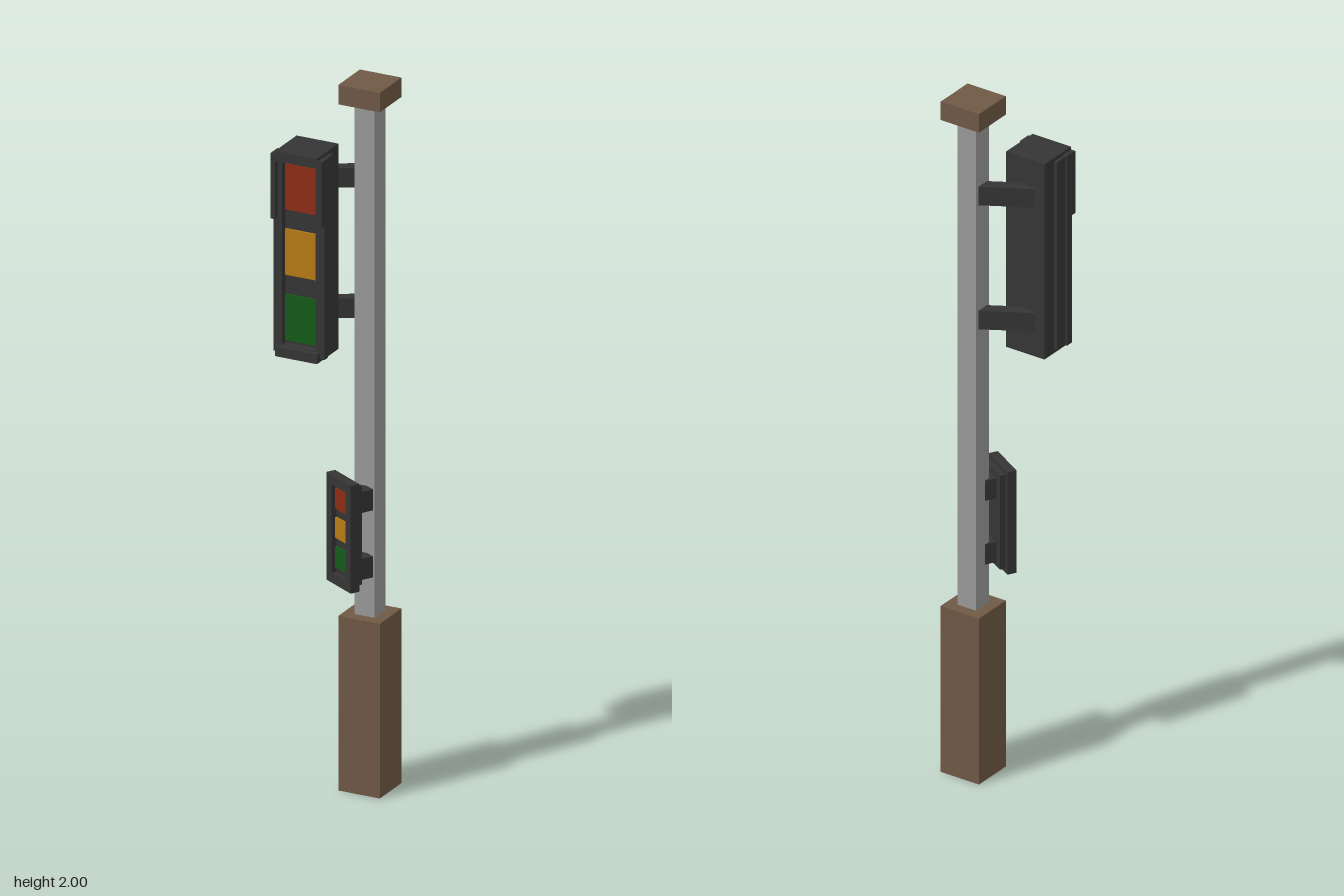
import * as THREE from 'three';

const mat = (name, color) => {
  const m = new THREE.MeshStandardMaterial({ color });
  m.name = name;
  return m;
};

export function createModel() {
  const brown = mat('brown base', 0x6f5845);
  const grey = mat('grey pole', 0x989898);
  const black = mat('black housing', 0x353535);
  const lensColors = [
    ['red', mat('red lens', 0x8c2c14)],
    ['amber', mat('amber lens', 0xb67a14)],
    ['green', mat('green lens', 0x135a18)],
  ];

  const add = (parent, name, geometry, material) => {
    const mesh = new THREE.Mesh(geometry, material);
    mesh.name = name;
    parent.add(mesh);
    return mesh;
  };
  // Box given by its minimum and maximum corners
  const box = (parent, name, a, b, material) => {
    const mesh = add(parent, name, new THREE.BoxGeometry(b[0] - a[0], b[1] - a[1], b[2] - a[2]), material);
    mesh.position.set((a[0] + b[0]) / 2, (a[1] + b[1]) / 2, (a[2] + b[2]) / 2);
    return mesh;
  };
  // Rectangular rim with an opening, extruded from z0 to z1
  const rim = (parent, name, w, h, iw, ih, z0, z1) => {
    const rect = (P, x, y) => new P([[-x, -y], [x, -y], [x, y], [-x, y]].map(p => new THREE.Vector2(...p)));
    const shape = rect(THREE.Shape, w / 2, h / 2);
    shape.holes.push(rect(THREE.Path, iw / 2, ih / 2));
    const geo = new THREE.ExtrudeGeometry(shape, { depth: z1 - z0, bevelEnabled: false });
    add(parent, name, geo, black).position.z = z0;
  };
  // Three thin lenses stacked from top to bottom
  const lenses = (parent, w, h, pitch, y, z) => lensColors.forEach(([name, m], i) => {
    const cy = y + (1 - i) * pitch;
    box(parent, name + 'Lens', [-w / 2, cy - h / 2, z], [w / 2, cy + h / 2, z + 0.006], m);
  });

  const model = new THREE.Group();
  model.name = 'trafficSignal';

  // Post
  const px = 0.068, pz = -0.062;
  const post = (name, half, y0, y1, m) =>
    box(model, name, [px - half, y0, pz - half], [px + half, y1, pz + half], m);
  post('base', 0.0615, 0, 0.495, brown);
  post('pole', 0.03, 0.495, 1.945, grey);
  post('cap', 0.0615, 1.945, 2, brown);

  // Main signal, centred on its own origin, back at z = 0
  const main = new THREE.Group();
  main.name = 'mainSignal';
  main.position.set(-0.055, 1.543, 0);
  model.add(main);
  box(main, 'housing', [-0.062, -0.291, 0], [0.062, 0.291, 0.086], black);
  rim(main, 'frontRim', 0.151, 0.565, 0.1, 0.525, 0.084, 0.106);
  box(main, 'topVisor', [-0.062, 0.262, 0.08], [0.062, 0.291, 0.122], black);
  box(main, 'bottomLip', [-0.062, -0.291, 0.08], [0.062, -0.264, 0.122], black);
  for (const s of [-1, 1]) {
    const side = (name, a, b) => {
      const [x0, x1] = s < 0 ? [-b[0], -a[0]] : [a[0], b[0]];
      box(main, name, [x0, a[1], a[2]], [x1, b[1], b[2]], black);
    };
    side('sidePanel', [0.062, -0.28, 0.045], [0.071, 0.28, 0.086]);
    side('visorCheek', [0.062, 0.097, 0.104], [0.0755, 0.2825, 0.122]);
  }
  lenses(main, 0.096, 0.13, 0.185, -0.003, 0.086);

  // Small signal, turned aside, front at z = 0
  const small = new THREE.Group();
  small.name = 'smallSignal';
  small.position.set(0.0215, 0.743, 0.027);
  small.rotation.y = -Math.PI / 6;
  model.add(small);
  box(small, 'smallHousing', [-0.047, -0.14, -0.043], [0.047, 0.14, -0.015], black);
  rim(small, 'smallRim', 0.119, 0.305, 0.068, 0.25, -0.027, 0);
  lenses(small, 0.062, 0.058, 0.083, 0.003, -0.015);

  // Arms from the pole to both signals
  for (const y of [1.728, 1.358]) {
    const arm = add(model, 'mainArm', new THREE.BoxGeometry(0.15, 0.055, 0.034), black);
    arm.position.set(-0.018, y, -0.03);
    arm.rotation.y = Math.PI / 6;
  }
  for (const y of [0.092, -0.098])
    box(small, 'smallArm', [-0.025, y - 0.03, -0.078], [0.045, y + 0.03, -0.04], black);

  return model;
}
